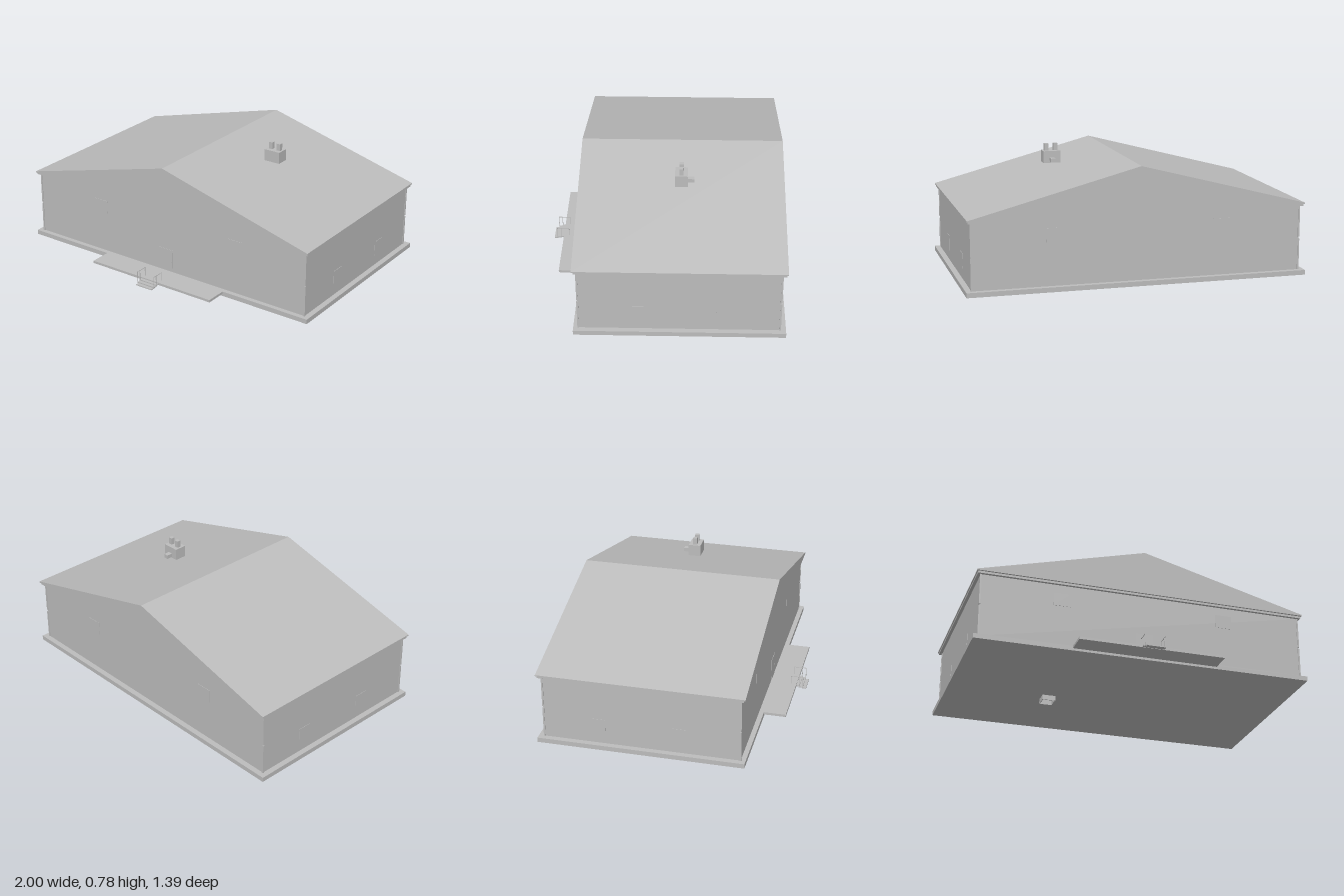
import * as THREE from 'three';

export function createModel() {
  const model = new THREE.Group();
  const grey = new THREE.MeshStandardMaterial({ color: 0xbcbcbc });
  grey.name = 'plain grey';

  // Box given by its low and high limits on each axis
  function box(name, [x0, x1], [y0, y1], [z0, z1], parent = model) {
    const mesh = new THREE.Mesh(new THREE.BoxGeometry(x1 - x0, y1 - y0, z1 - z0), grey);
    mesh.position.set((x0 + x1) / 2, (y0 + y1) / 2, (z0 + z1) / 2);
    mesh.name = name;
    parent.add(mesh);
    return mesh;
  }

  function group(name) {
    const g = new THREE.Group();
    g.name = name;
    model.add(g);
    return g;
  }

  // Foundation, walls and eaves
  box('foundation', [-1, 1], [0.03, 0.058], [-0.695, 0.505]);
  box('walls', [-0.967, 0.967], [0.058, 0.44], [-0.662, 0.477]);
  box('eaves', [-0.985, 0.985], [0.44, 0.455], [-0.683, 0.493]);

  // Corner boards, each split at mid height
  const corners = group('cornerBoards');
  for (const x of [-0.966, 0.966]) {
    for (const z of [-0.661, 0.476]) {
      for (const y of [[0.058, 0.243], [0.253, 0.44]]) {
        box('cornerBoard', [x - 0.005, x + 0.005], y, [z - 0.005, z + 0.005], corners);
      }
    }
  }

  // Gable roof with a low fascia
  const gable = new THREE.Shape();
  gable.moveTo(-0.99, 0.453);
  gable.lineTo(0.99, 0.453);
  gable.lineTo(0.99, 0.46);
  gable.lineTo(0, 0.72);
  gable.lineTo(-0.99, 0.46);
  const roof = new THREE.Mesh(
    new THREE.ExtrudeGeometry(gable, { depth: 1.195, bevelEnabled: false }), grey);
  roof.position.z = -0.692;
  roof.name = 'roof';
  model.add(roof);

  // Chimney block with two pots and a rear stub
  const chimney = group('chimney');
  box('chimneyBlock', [0.333, 0.435], [0.665, 0.735], [-0.132, -0.058], chimney);
  for (const x of [0.358, 0.412]) {
    box('chimneyPot', [x - 0.012, x + 0.012], [0.735, 0.777], [-0.107, -0.083], chimney);
  }
  box('chimneyStub', [0.37, 0.398], [0.672, 0.695], [-0.17, -0.132], chimney);

  // Porch deck and steps
  box('porchDeck', [-0.43, 0.43], [0.044, 0.059], [0.5, 0.635]);
  const steps = group('steps');
  [[0.063, 0.049, 0.63], [0.061, 0.042, 0.65], [0.056, 0.035, 0.67]].forEach(([w, y, z]) => {
    box('step', [-w, w], [y - 0.003, y + 0.003], [z, z + 0.024], steps);
  });

  // Hand rails either side of the steps
  const rails = group('handRails');
  const t = 0.0015;
  for (const x of [-0.06, 0.06]) {
    [[0.603, 0.059], [0.652, 0.05], [0.674, 0.038]].forEach(([z, y]) => {
      box('railPost', [x - t, x + t], [y, 0.11], [z - t, z + t], rails);
    });
    box('railTop', [x - t, x + t], [0.109, 0.112], [0.602, 0.675], rails);
  }

  // Thin doors and windows lying on the walls
  const openings = group('openings');
  box('door', [-0.05, 0.05], [0.06, 0.2], [0.476, 0.479], openings);
  box('doorHandle', [0.038, 0.044], [0.122, 0.128], [0.479, 0.483], openings);
  for (const x of [-0.49, 0.49]) {
    box('frontWindow', [x - 0.05, x + 0.05], [0.31, 0.39], [0.476, 0.479], openings);
    box('backWindow', [x - 0.05, x + 0.05], [0.31, 0.39], [-0.664, -0.661], openings);
  }
  for (const side of [-1, 1]) {
    const x = side < 0 ? [-0.969, -0.966] : [0.966, 0.969];
    for (const z of [-0.34, 0.13]) {
      box('sideWindow', x, [0.12, 0.21], [z - 0.04, z + 0.04], openings);
    }
  }

  // Open square duct below the foundation
  const duct = group('floorDuct');
  for (const x of [-0.43, -0.354]) {
    box('ductSide', [x, x + 0.004], [0, 0.031], [-0.245, -0.165], duct);
  }
  for (const z of [-0.245, -0.169]) {
    box('ductEnd', [-0.426, -0.354], [0, 0.031], [z, z + 0.004], duct);
  }

  return model;
}
